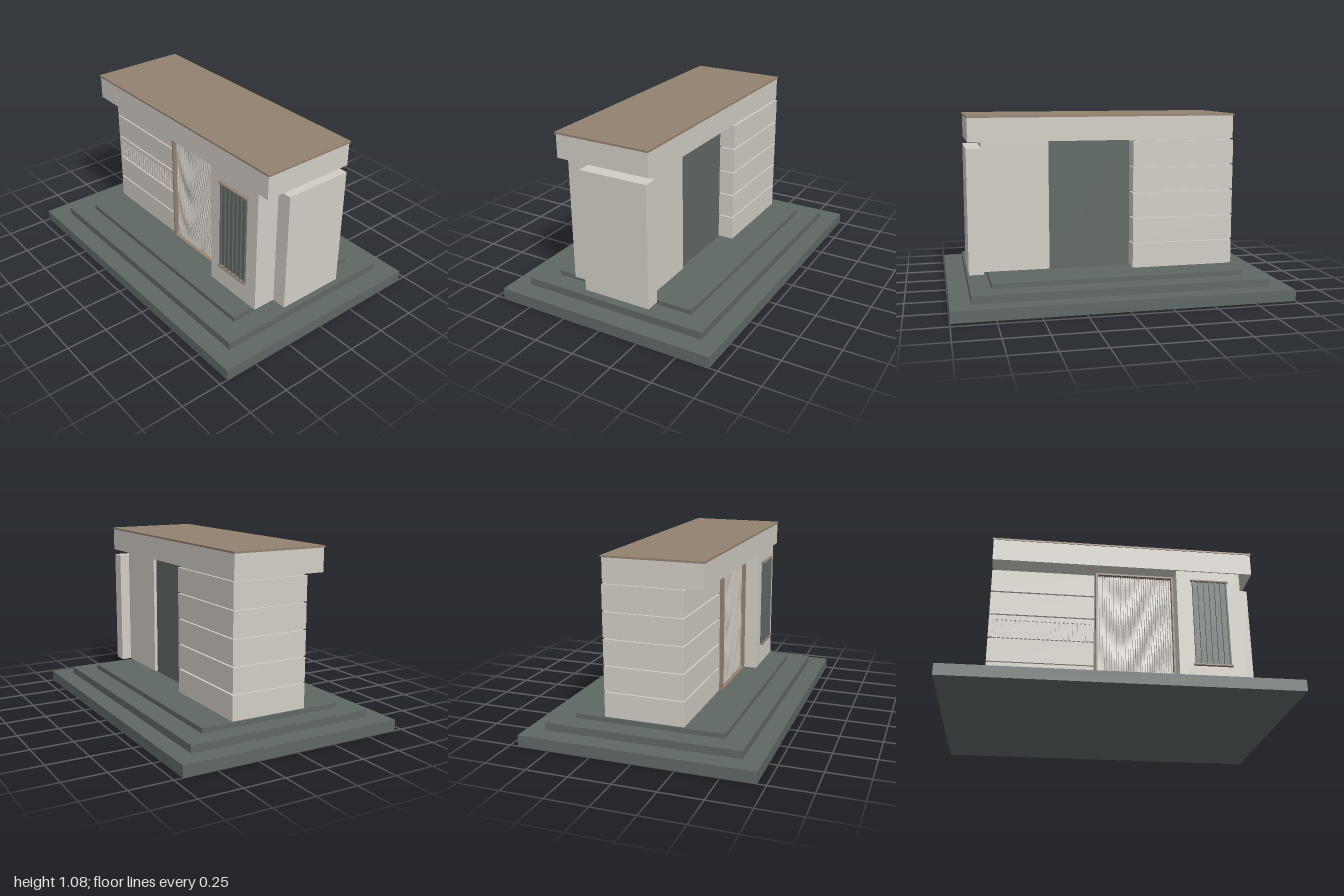
import * as THREE from 'three';

const mat = (color) => new THREE.MeshStandardMaterial({ color, flatShading: true });

export function createModel() {
  const model = new THREE.Group();
  const cream = mat(0xd2cec6), dark = mat(0x5f6864), brown = mat(0x938270);

  // Box given by its limits on each axis
  const box = (name, material, x0, x1, y0, y1, z0, z1, parent = model) => {
    const geometry = new THREE.BoxGeometry(x1 - x0, y1 - y0, z1 - z0);
    geometry.translate((x0 + x1) / 2, (y0 + y1) / 2, (z0 + z1) / 2);
    const mesh = new THREE.Mesh(geometry, material);
    mesh.name = name;
    parent.add(mesh);
    return mesh;
  };
  const group = (name) => {
    const g = new THREE.Group();
    g.name = name;
    model.add(g);
    return g;
  };

  // Stepped plinth
  box('plinthBase', dark, -1, 1, 0, 0.067, -0.7, 0.7);
  box('plinthMiddle', dark, -0.88, 0.88, 0.067, 0.112, -0.588, 0.588);
  box('plinthTop', dark, -0.757, 0.757, 0.112, 0.141, -0.455, 0.455);

  // Banded wing: recessed core with five wall courses around it
  const wing = group('bandedWing');
  box('wingCore', cream, -0.745, -0.135, 0.141, 0.935, -0.25, 0.203, wing);
  for (let i = 0; i < 5; i++) {
    const y0 = 0.147 + i * 0.157, y1 = y0 + 0.148;
    if (i !== 2) {
      box('wallCourse', cream, -0.76, -0.122, y0, y1, -0.265, 0.218, wing);
      continue;
    }
    // The middle course has a slot at the front filled with small fins
    box('wallCourse', cream, -0.76, -0.122, y0, y1, -0.265, 0.2, wing);
    box('slotHead', cream, -0.76, -0.122, 0.58, y1, 0.2, 0.218, wing);
    box('slotEnd', cream, -0.76, -0.735, y0, 0.58, 0.2, 0.218, wing);
    box('slotEnd', cream, -0.147, -0.122, y0, 0.58, 0.2, 0.218, wing);
    const count = 22, pitch = 0.588 / count;
    for (let k = 0; k < count; k++) {
      const x = -0.735 + (k + 0.5) * pitch;
      box('slotFin', cream, x - 0.009, x + 0.009, y0, 0.58, 0.2, 0.217, wing);
    }
  }

  // Dark inner room, seen as the recessed panel at the back
  box('innerRoom', dark, -0.135, 0.39, 0.141, 0.935, -0.165, 0.17);

  // Solid wall block and the side slab beside it
  box('wallBlock', cream, 0.382, 0.783, 0.147, 0.935, -0.185, 0.322);
  box('sideSlab', cream, 0.783, 0.873, 0.147, 0.895, -0.25, 0.178);

  // Roof
  box('roofFascia', cream, -0.758, 0.864, 0.932, 1.073, -0.26, 0.33);
  box('roofCap', brown, -0.765, 0.87, 1.073, 1.084, -0.265, 0.334);

  // Door screen: frame, backing and wavy vertical slats
  const screen = group('doorScreen');
  const [L, R, B, T] = [-0.112, 0.376, 0.143, 0.932];
  box('screenBacking', cream, L, R, B, T, 0.17, 0.2, screen);
  box('frameSide', brown, L, L + 0.011, B, T, 0.19, 0.24, screen);
  box('frameSide', brown, R - 0.011, R, B, T, 0.19, 0.24, screen);
  box('frameBottom', brown, L, R, B, B + 0.011, 0.19, 0.239, screen);
  box('frameTop', brown, L, R, T - 0.011, T, 0.19, 0.239, screen);
  const slats = 32, steps = 36, pitch = (R - L - 0.022) / slats;
  const y0 = B + 0.011, y1 = T - 0.011;
  for (let i = 0; i < slats; i++) {
    const u = (i + 0.5) / slats;
    const shape = new THREE.Shape();
    shape.moveTo(0.198, y0);
    for (let j = 0; j <= steps; j++) {
      const v = j / steps;
      const swell = Math.sqrt(Math.sin(Math.PI * u) * Math.sin(Math.PI * v) + 1e-6);
      const z = 0.216 + 0.012 * swell * Math.sin(v * 16 + 5 * Math.sin(u * 5));
      shape.lineTo(z, y0 + v * (y1 - y0));
    }
    shape.lineTo(0.198, y1);
    const geometry = new THREE.ExtrudeGeometry(shape, { depth: pitch * 0.7, bevelEnabled: false });
    geometry.rotateY(-Math.PI / 2);
    geometry.translate(L + 0.011 + (i + 0.85) * pitch, 0, 0);
    const slat = new THREE.Mesh(geometry, cream);
    slat.name = 'wavySlat';
    screen.add(slat);
  }

  // Louvred window on the wall block
  const louvre = group('louvreWindow');
  box('windowPane', dark, 0.478, 0.697, 0.293, 0.86, 0.315, 0.325, louvre);
  for (let i = 0; i < 7; i++) {
    const x = 0.482 + i * 0.035;
    box('windowFin', dark, x - 0.004, x + 0.004, 0.295, 0.858, 0.32, 0.336, louvre);
  }
  for (const y of [0.288, 0.856]) {
    box('windowRail', brown, 0.468, 0.704, y, y + 0.009, 0.32, 0.343, louvre);
  }

  return model;
}
